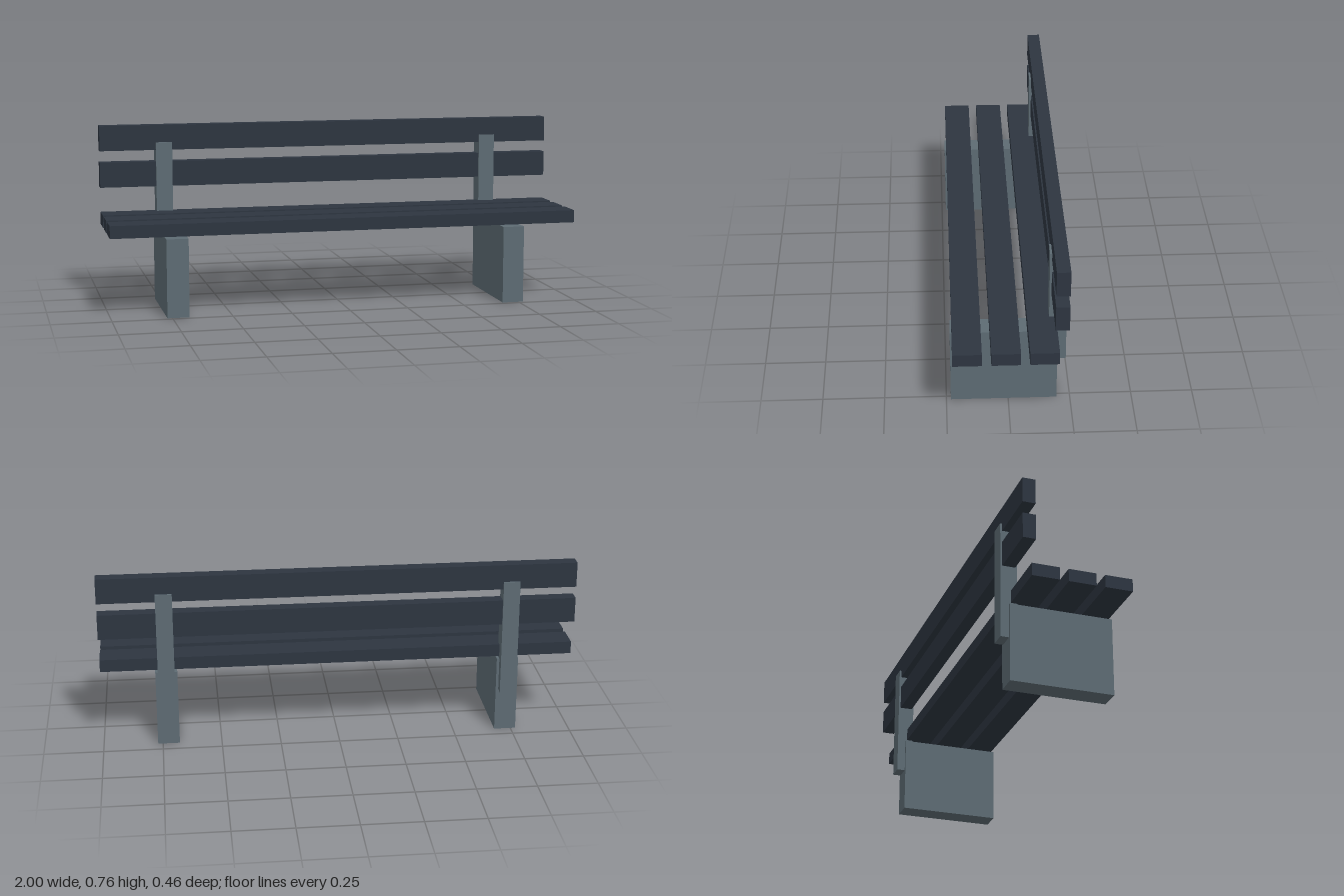
import * as THREE from 'three';

export function createModel() {
  const bench = new THREE.Group();
  bench.name = 'bench';

  const slatPaint = new THREE.MeshStandardMaterial({ color: 0x2d3540 });
  slatPaint.name = 'dark slate slats';
  const supportPaint = new THREE.MeshStandardMaterial({ color: 0x5d6b73 });
  supportPaint.name = 'grey supports';

  // Box given by its lower and upper limits on each axis
  function block(name, material, [x0, x1], [y0, y1], [z0, z1]) {
    const mesh = new THREE.Mesh(new THREE.BoxGeometry(x1 - x0, y1 - y0, z1 - z0), material);
    mesh.position.set((x0 + x1) / 2, (y0 + y1) / 2, (z0 + z1) / 2);
    mesh.name = name;
    bench.add(mesh);
  }

  // Seat: three flat slats, slightly above the legs
  for (const z of [0.1685, 0.0185, -0.131]) {
    block('seatSlat', slatPaint, [-1, 1], [0.338, 0.391], [z - 0.057, z + 0.057]);
  }

  // Backrest: two upright slats
  for (const y of [0.5505, 0.7075]) {
    block('backSlat', slatPaint, [-1, 1], [y - 0.0535, y + 0.0535], [-0.223, -0.169]);
  }

  // Slab legs and back posts, mirrored left and right
  for (const [side, x] of [['left', 0.725], ['right', -0.725]]) {
    block(side + 'Leg', supportPaint, [x - 0.046, x + 0.046], [0, 0.329], [-0.196, 0.232]);
    block(side + 'BackPost', supportPaint, [x - 0.035, x + 0.035], [0.187, 0.687], [-0.231, -0.161]);
  }

  return bench;
}
